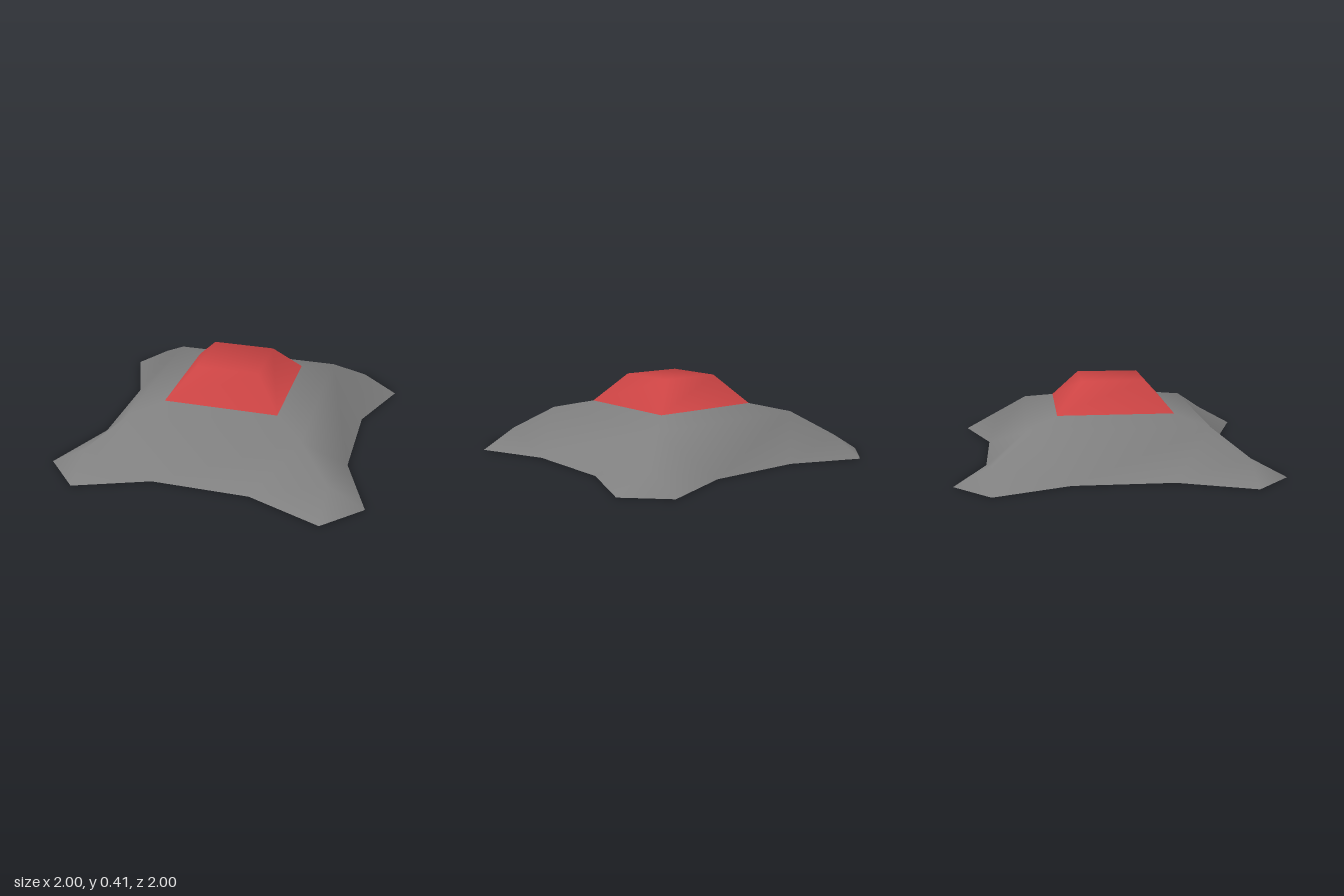
import * as THREE from 'three';

const ARMS = 4;

// Points of one arm; the other three arms are quarter turns of it
const CAP = 0, RIM = 1, RIDGE = 2, KNEE = 3, ROOT_P = 4, ROOT_N = 5, TOE_P = 6, TOE_N = 7;
const POINTS = [
  [0.23, 0.41, 0],                            // cap top corner
  [0.42, 0.26, 0],                            // cap base corner
  [0.64, 0.22, 0], [0.87, 0.1, 0],            // leg ridge
  [0.64, 0.001, 0.29], [0.64, 0.001, -0.29],  // leg root
  [1, 0, 0.13], [1, 0, -0.13],                // foot
];

// A face corner is [point, armOffset]
const SHELL_FACES = [
  [[RIM, 0], [RIM, 1], [RIDGE, 1], [RIDGE, 0]],        // shallow shoulder
  [[RIDGE, 0], [RIDGE, 1], [ROOT_N, 1], [ROOT_P, 0]],  // steep side between legs
  [[RIDGE, 0], [ROOT_P, 0], [KNEE, 0]],
  [[RIDGE, 0], [KNEE, 0], [ROOT_N, 0]],
  [[KNEE, 0], [ROOT_P, 0], [TOE_P, 0]],
  [[KNEE, 0], [TOE_N, 0], [ROOT_N, 0]],
  [[KNEE, 0], [TOE_P, 0], [TOE_N, 0]],
];
const CAP_FACES = [[[CAP, 0], [CAP, 1], [RIM, 1], [RIM, 0]]];

// Repeats the faces of one arm around the centre
function repeatFaces(faces) {
  const out = [];
  for (let i = 0; i < ARMS; i++) {
    for (const face of faces) {
      out.push(face.map(([p, o]) => ((i + o) % ARMS) * POINTS.length + p));
    }
  }
  return out;
}

// Smooth normals, each face weighted by its corner angle so they stay symmetric
function smoothNormals(verts, faces) {
  const normals = verts.map(() => new THREE.Vector3());
  for (const face of faces) {
    const v = face.map((id) => verts[id]), n = v.length;
    const normal = v[2].clone().sub(v[0]).cross(v[n - 1].clone().sub(v[1]));
    if (n === 3) normal.copy(v[1]).sub(v[0]).cross(v[2].clone().sub(v[0]));
    normal.normalize();
    face.forEach((id, k) => {
      const a = v[(k + 1) % n].clone().sub(v[k]), b = v[(k + n - 1) % n].clone().sub(v[k]);
      normals[id].addScaledVector(normal, a.angleTo(b));
    });
  }
  return normals.map((n) => n.normalize());
}

export function createModel() {
  const grey = new THREE.MeshStandardMaterial({ color: 0x808080, side: THREE.DoubleSide });
  grey.name = 'grey';
  const red = new THREE.MeshStandardMaterial({ color: 0xcc4444, side: THREE.DoubleSide });
  red.name = 'red';

  const verts = [];
  for (let i = 0; i < ARMS; i++) {
    const c = [1, 0, -1, 0][i], s = [0, 1, 0, -1][i];
    for (const [x, y, z] of POINTS) verts.push(new THREE.Vector3(x * c - z * s, y, x * s + z * c));
  }

  // Open shell with four ridged legs, and a raised diamond cap with a flat top
  const shell = repeatFaces(SHELL_FACES);
  const capTop = [3, 2, 1, 0].map((i) => i * POINTS.length + CAP);
  const cap = [...repeatFaces(CAP_FACES), capTop];
  const normals = smoothNormals(verts, [...shell, ...cap]);

  const group = new THREE.Group();
  group.name = 'model';
  for (const [name, faces, material] of [['leggedShell', shell, grey], ['topCap', cap, red]]) {
    const geo = new THREE.BufferGeometry().setFromPoints(verts);
    geo.setAttribute('normal', new THREE.Float32BufferAttribute(normals.flatMap((n) => n.toArray()), 3));
    geo.setIndex(faces.flatMap((f) => f.slice(2).flatMap((id, k) => [f[0], f[k + 1], id])));
    const mesh = new THREE.Mesh(geo, material);
    mesh.name = name;
    group.add(mesh);
  }
  return group;
}
